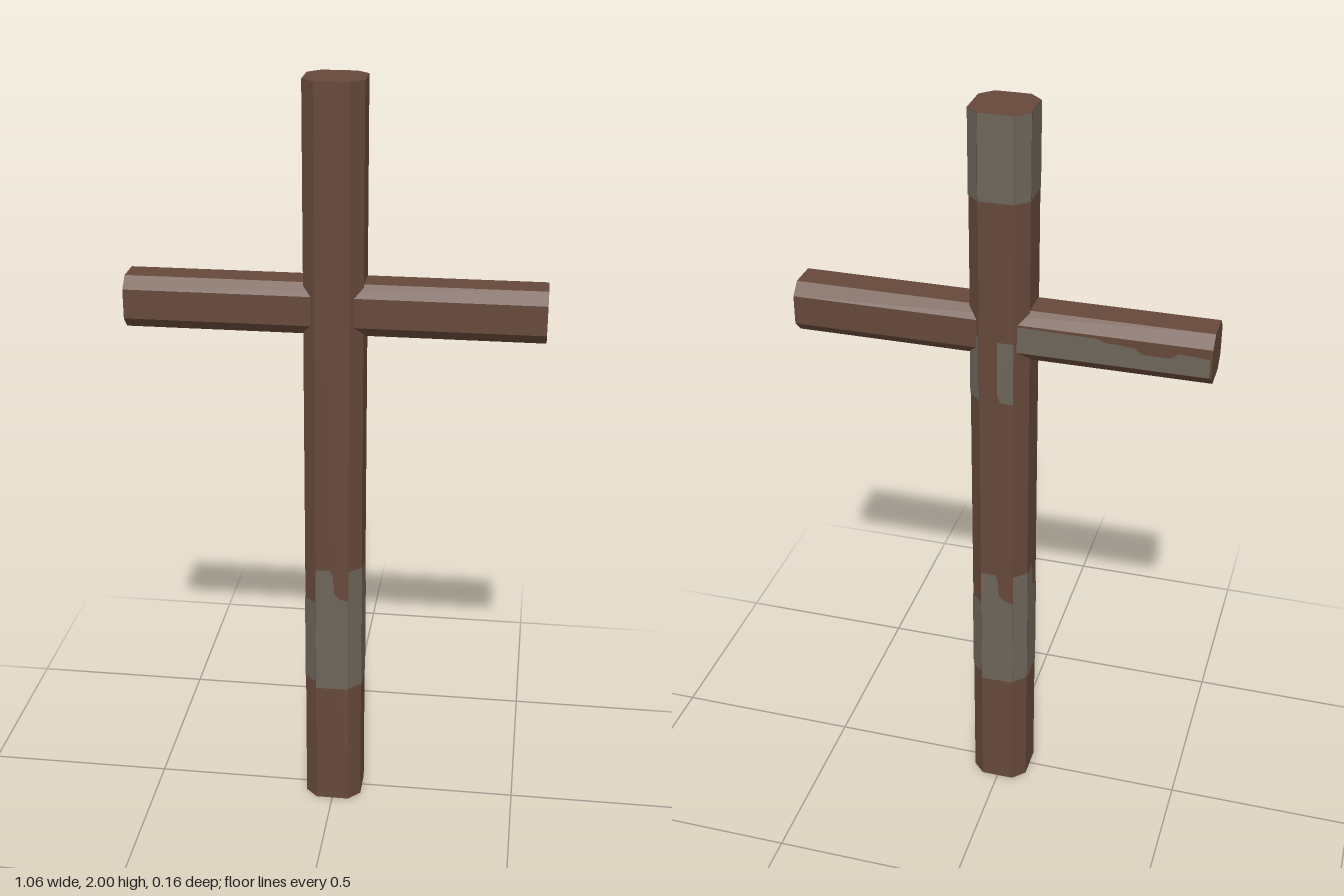
import * as THREE from 'three';

const wood = new THREE.MeshStandardMaterial({ color: 0x66483a, flatShading: true });
wood.name = 'brownWood';
const worn = new THREE.MeshStandardMaterial({ color: 0x6d655a, flatShading: true });
worn.name = 'greyWeathering';

const POST = { half: 0.076, flat: 0.044 };
const BEAM = { half: 0.067, flat: 0.038, y: 1.432, length: 1.06 };
const LIFT = 0.0015;

// Square timber with chamfered corners, centred on the origin along z
function timber({ half: h, flat: f }, length) {
  const outline = [[h, -f], [h, f], [f, h], [-f, h], [-h, f], [-h, -f], [-f, -h], [f, -h]];
  const shape = new THREE.Shape(outline.map(([x, y]) => new THREE.Vector2(x, y)));
  return new THREE.ExtrudeGeometry(shape, { depth: length, bevelEnabled: false })
    .translate(0, 0, -length / 2);
}

function flatPatch(points) {
  return new THREE.ShapeGeometry(new THREE.Shape(points.map(([x, y]) => new THREE.Vector2(x, y))));
}

function addMesh(parent, name, geometry, material) {
  const mesh = new THREE.Mesh(geometry, material);
  mesh.name = name;
  parent.add(mesh);
  return mesh;
}

// Patch on one of the post's eight sides: 0 is the front, 2 is +x, 4 the back.
// Points are [fraction of half width, height].
function postPatch(parent, name, side, points) {
  const { half, flat } = POST;
  const chamfer = side % 2 === 1;
  const width = chamfer ? (half - flat) / Math.SQRT2 : flat;
  const distance = chamfer ? (half + flat) / Math.SQRT2 : half;
  const geometry = flatPatch(points.map(([u, y]) => [u * width, y]));
  geometry.translate(0, 0, distance + LIFT).rotateY(side * Math.PI / 4);
  addMesh(parent, name, geometry, worn);
}

const band = (low, high) => [[-1, low], [1, low], [1, high], [-1, high]];

export function createModel() {
  const group = new THREE.Group();
  group.name = 'woodenCross';

  // Timbers
  addMesh(group, 'post', timber(POST, 2).rotateX(-Math.PI / 2).translate(0, 1, 0), wood);
  addMesh(group, 'crossbeam', timber(BEAM, BEAM.length).rotateY(Math.PI / 2)
    .translate(0, BEAM.y, -0.001), wood);

  // Weathered band round the lower post, with a stepped upper edge
  const stepped = [[-1, 0.357], [1, 0.357], [1, 0.63], [0.5, 0.635], [0.15, 0.65],
    [0.05, 0.7], [-0.1, 0.718], [-1, 0.718]];
  for (let side = 0; side < 8; side++) {
    const points = side % 2 === 0 ? stepped
      : side % 4 === 1 ? band(0.36, 0.718) : band(0.377, 0.62);
    postPatch(group, 'lowerWeathering', side, points);
  }

  // Weathered top of the post, round the back
  for (const side of [3, 4, 5, 6]) postPatch(group, 'topWeathering', side, band(1.785, 2));

  // Weathering beside and below the joint
  postPatch(group, 'jointWeathering', 3, band(1.25, 1.43));
  postPatch(group, 'jointWeathering', 4,
    [[0.05, 1.27], [0.25, 1.25], [1, 1.25], [1, 1.42], [0.05, 1.42]]);

  // Weathering on the back of one arm; seen from behind, x runs outward
  const arm = flatPatch([[0.05, 1.395], [0.525, 1.395], [0.525, 1.445], [0.45, 1.45],
    [0.43, 1.435], [0.36, 1.435], [0.34, 1.45], [0.27, 1.455], [0.25, 1.462], [0.05, 1.465]]);
  arm.translate(0, 0, BEAM.half + 0.001 + LIFT).rotateY(Math.PI);
  addMesh(group, 'armWeathering', arm, worn);

  return group;
}
